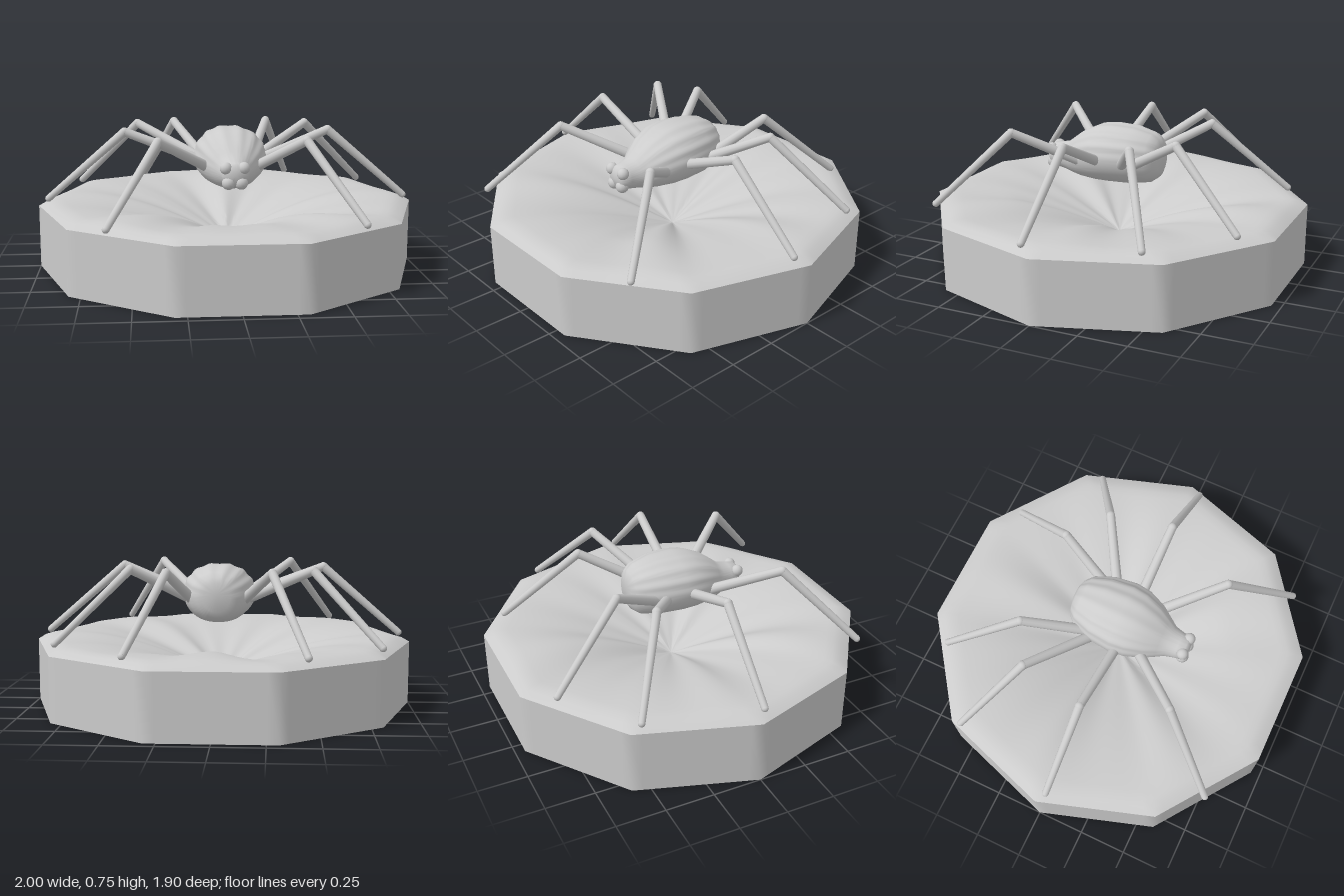
import * as THREE from 'three';
import { toCreasedNormals } from 'three/addons/utils/BufferGeometryUtils.js';

const material = new THREE.MeshStandardMaterial({ color: 0xcccccc });
const V = (x, y, z) => new THREE.Vector3(x, y, z);

function add(parent, name, geometry) {
  const mesh = new THREE.Mesh(geometry, material);
  mesh.name = name;
  parent.add(mesh);
  return mesh;
}

// Skin closed rings of equal point count
function loft(rings, crease) {
  const n = rings[0].length, index = [];
  for (let i = 0; i < rings.length - 1; i++) {
    for (let j = 0; j < n; j++) {
      const a = i * n + j, b = i * n + (j + 1) % n;
      index.push(a, b, a + n, b, b + n, a + n);
    }
  }
  const geometry = new THREE.BufferGeometry().setFromPoints(rings.flat());
  geometry.setIndex(index);
  return toCreasedNormals(geometry, crease);
}

// Ten-sided plinth whose rippled top sinks to the middle like draped cloth
function plinth() {
  const segments = 120;
  const ring = (t, height) => Array.from({ length: segments }, (_, j) => {
    const a = j / segments * Math.PI * 2;
    const side = Math.PI / 5;
    const r = t * Math.cos(side / 2) / Math.cos(a % side - side / 2);
    return V(r * Math.cos(a), height(t, a), -r * Math.sin(a));
  });
  const top = (t, a) => {
    const bowl = 0.14 + 0.225 * Math.sin(Math.min(t / 0.88, 1) * Math.PI / 2);
    const bevel = t > 0.9 ? 0.035 * ((t - 0.9) / 0.1) ** 2 : 0;
    const folds = 0.6 * Math.sin(5 * a + 0.6) + 0.5 * Math.sin(8 * a + 2) + 0.35 * Math.sin(13 * a);
    // Shallow bay in the front edge
    const bay = 0.025 * Math.exp(-(((a - 5.2) / 0.22) ** 2)) * Math.max(0, t - 0.6) / 0.4;
    return bowl - bevel + 0.07 * t * (1 - t) * folds - bay * (1 - t) * 4;
  };
  const rings = [ring(0, () => 0), ring(1, () => 0)];
  for (let k = 0; k <= 24; k++) rings.push(ring(1 - k / 24, top));
  return loft(rings, 0.75);
}

// Ribbed body with the neck and head: [z, half width, top, bottom, rib depth]
function body() {
  const sections = [
    [-0.255, 0, 0.60, 0.60, 0], [-0.25, 0.07, 0.66, 0.51, 0.03], [-0.235, 0.105, 0.69, 0.48, 0.04],
    [-0.2, 0.14, 0.715, 0.455, 0.04], [-0.1, 0.18, 0.74, 0.44, 0.04], [0.02, 0.195, 0.745, 0.438, 0.04],
    [0.1, 0.185, 0.735, 0.438, 0.04], [0.19, 0.15, 0.695, 0.445, 0.035], [0.25, 0.11, 0.65, 0.455, 0.02],
    [0.29, 0.083, 0.62, 0.465, 0], [0.34, 0.07, 0.61, 0.475, 0], [0.38, 0.065, 0.605, 0.485, 0],
    [0.395, 0.045, 0.59, 0.5, 0], [0.4, 0, 0.545, 0.545, 0],
  ];
  const rings = sections.map(([z, w, hi, lo, rib]) => Array.from({ length: 96 }, (_, j) => {
    const a = j / 96 * Math.PI * 2;
    const upper = Math.max(0, Math.sin(a));
    const s = 1 - rib * (0.5 - 0.5 * Math.cos(14 * a)) * Math.min(1, upper * 3);
    const x = Math.sign(Math.cos(a)) * Math.abs(Math.cos(a)) ** 0.9;
    return V(0.015 + w * s * x, (hi + lo) / 2 + (hi - lo) / 2 * s * Math.sin(a), z);
  }));
  return loft(rings, 1.2);
}

// Tapered rod between two points
function rod(parent, name, from, to, r0, r1) {
  const mesh = add(parent, name, new THREE.CylinderGeometry(r1, r0, from.distanceTo(to), 12));
  mesh.position.copy(from).lerp(to, 0.5);
  mesh.quaternion.setFromUnitVectors(V(0, 1, 0), to.clone().sub(from).normalize());
}

function ball(parent, name, at, r) {
  add(parent, name, new THREE.SphereGeometry(r, 14, 10)).position.copy(at);
}

function leg(name, hip, knee, foot) {
  const group = new THREE.Group();
  group.name = name;
  rod(group, 'thigh', hip, knee, 0.028, 0.023);
  ball(group, 'knee', knee, 0.0235);
  rod(group, 'shin', knee, foot, 0.023, 0.018);
  ball(group, 'foot', foot, 0.018);
  return group;
}

export function createModel() {
  const model = new THREE.Group();
  add(model, 'plinth', plinth());

  const spider = new THREE.Group();
  spider.name = 'spider';
  add(spider, 'body', body());

  // Eyes above and jaws below at the front of the head
  for (const side of [-1, 1]) {
    ball(spider, 'eye', V(0.012 + side * 0.045, 0.58, 0.378), 0.031);
    ball(spider, 'jaw', V(0.012 + side * 0.032, 0.505, 0.375), 0.034);
  }

  // Hip, knee and foot of every leg
  const legs = [
    ['frontLeftLeg', [0.13, 0.545, 0.15], [0.36, 0.725, 0.45], [0.6, 0.37, 0.77]],
    ['frontRightLeg', [-0.1, 0.545, 0.15], [-0.37, 0.725, 0.45], [-0.615, 0.37, 0.775]],
    ['secondLeftLeg', [0.14, 0.56, 0.05], [0.53, 0.73, 0.06], [0.945, 0.375, 0.063]],
    ['secondRightLeg', [-0.11, 0.56, 0.055], [-0.54, 0.725, 0.045], [-0.945, 0.375, 0.035]],
    ['thirdLeftLeg', [0.14, 0.55, -0.07], [0.455, 0.73, -0.26], [0.805, 0.375, -0.48]],
    ['thirdRightLeg', [-0.11, 0.55, -0.07], [-0.475, 0.73, -0.3], [-0.805, 0.375, -0.53]],
    ['backLeftLeg', [0.14, 0.55, -0.11], [0.255, 0.725, -0.42], [0.42, 0.37, -0.8]],
    ['backRightLeg', [-0.11, 0.55, -0.11], [-0.27, 0.725, -0.42], [-0.44, 0.37, -0.805]],
  ];
  for (const [name, hip, knee, foot] of legs) {
    spider.add(leg(name, V(...hip), V(...knee), V(...foot)));
  }
  model.add(spider);
  return model;
}
